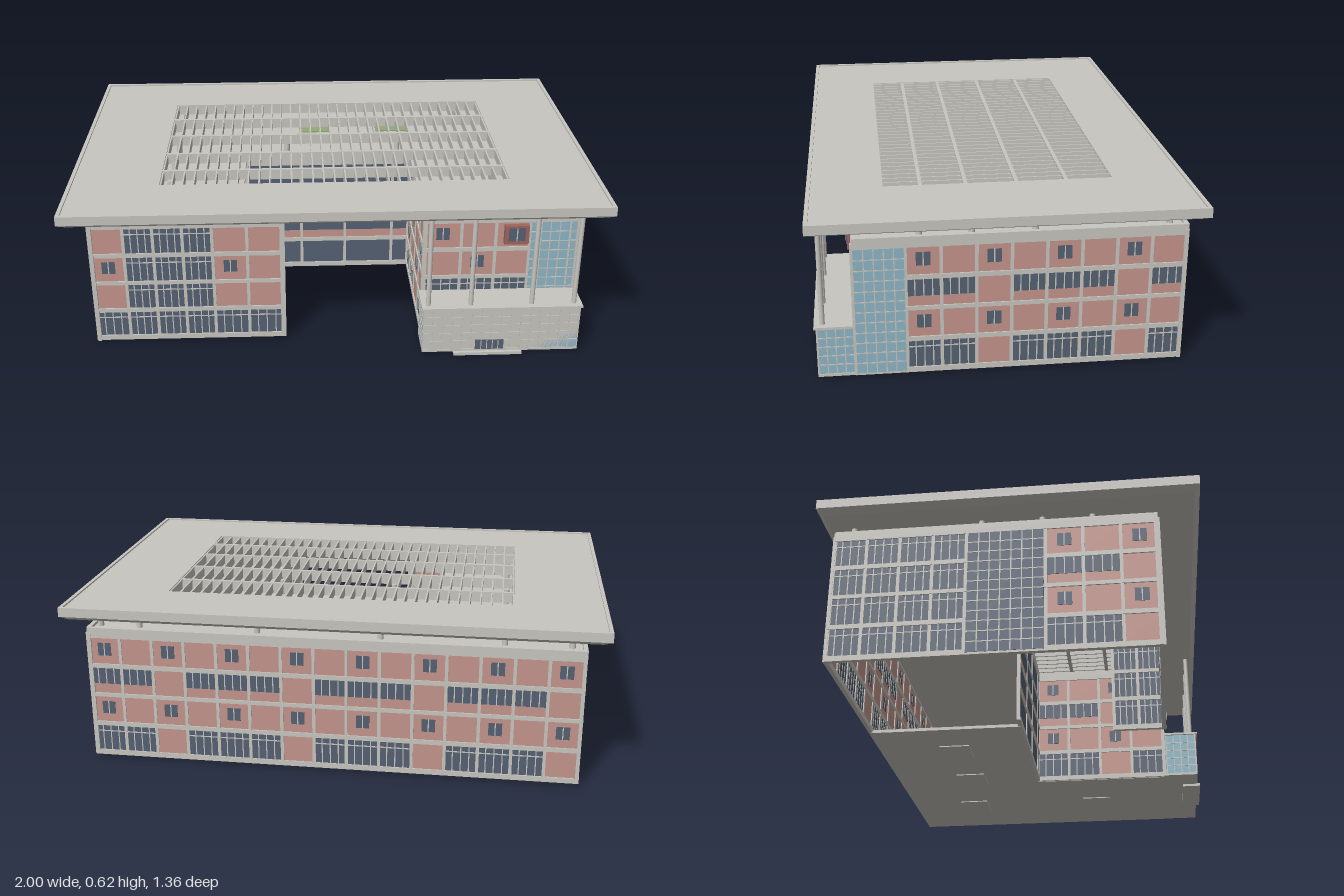
import * as THREE from 'three';
import { mergeGeometries } from 'three/addons/utils/BufferGeometryUtils.js';

const material = (name, color) => {
  const m = new THREE.MeshStandardMaterial({ color });
  m.name = name;
  return m;
};
const MATS = {
  stone: material('pale grey stone', 0xc8c6c0),
  panel: material('dusty pink panel', 0xc4958c),
  window: material('dark blue window', 0x566172),
  glass: material('light blue glass', 0x8fb6c6),
  green: material('green roof', 0x93aa78),
  red: material('brick red frame', 0xa0655c),
};

// Collects boxes by colour, then merges them into one mesh per colour.
class Boxes {
  constructor(name) { this.name = name; this.lists = {}; }
  // box given by its lower and upper corners
  add(mat, x0, x1, y0, y1, z0, z1) {
    const g = new THREE.BoxGeometry(x1 - x0, y1 - y0, z1 - z0);
    g.translate((x0 + x1) / 2, (y0 + y1) / 2, (z0 + z1) / 2);
    (this.lists[mat] ??= []).push(g);
  }
  // upright plate centred on the wall plane
  plate(mat, x0, x1, y0, y1, depth) { this.add(mat, x0, x1, y0, y1, -depth / 2, depth / 2); }
  build() {
    const group = new THREE.Group();
    group.name = this.name;
    for (const [mat, list] of Object.entries(this.lists)) {
      const mesh = new THREE.Mesh(mergeGeometries(list), MATS[mat]);
      mesh.name = `${this.name} ${mat}`;
      group.add(mesh);
    }
    return group;
  }
}

const FLOORS = [[0.03, 0.133], [0.15, 0.253], [0.268, 0.37], [0.387, 0.49]];
const BANDS = [[0.01, 0.03], [0.133, 0.15], [0.253, 0.268], [0.37, 0.387], [0.49, 0.53]];

// Glazing with a grid of slim bars.
function glazing(b, mat, x0, x1, y0, y1, cols, rows, depth, bar = 0.004) {
  b.plate(mat, x0, x1, y0, y1, depth);
  for (let i = 1; i < cols; i++) {
    const x = x0 + (x1 - x0) * i / cols;
    b.plate('stone', x - bar / 2, x + bar / 2, y0, y1, depth + 0.003);
  }
  for (let j = 1; j < rows; j++) {
    const y = y0 + (y1 - y0) * j / rows;
    b.plate('stone', x0, x1, y - bar / 2, y + bar / 2, depth + 0.003);
  }
}

// One bay of one storey: P plain, s small window, L long window over panel,
// W full window, B bare pane, C bare pane over panel.
function cell(b, code, x0, x1, [y0, y1]) {
  const mid = (x0 + x1) / 2;
  if (code === 'W') {
    glazing(b, 'window', x0, x1, y0, y1, 4, 1, 0.006);
    b.plate('stone', x0, x1, y1 - 0.026, y1 - 0.022, 0.009);
  } else if (code === 'B') {
    b.plate('window', x0, x1, y0, y1, 0.006);
  } else {
    b.plate('panel', x0, x1, y0, y1, 0.006);
    if (code === 's') glazing(b, 'window', mid - 0.025, mid + 0.025, y0 + 0.033, y0 + 0.083, 2, 1, 0.009);
    if (code === 'L') glazing(b, 'window', x0, x1, y0 + 0.038, y1, 4, 1, 0.009);
    if (code === 'C') b.plate('window', x0, x1, y0 + 0.035, y1, 0.009);
  }
}

// A wall starting at (x, z), running along its own x after turning by angle.
// Each bay is [width, storeys from the ground up]; G and K are full-height glazing.
function facade(name, x, z, angle, bays) {
  const b = new Boxes(name);
  const total = bays.reduce((s, [w]) => s + w, 0);
  for (const [y0, y1] of BANDS) b.plate('stone', 0, total, y0, y1, 0.016);
  const pier = (u) => b.plate('stone', u - 0.006, u + 0.006, 0.01, 0.51, 0.014);
  let u = 0;
  for (const [w, codes] of bays) {
    pier(u);
    if (codes === 'G') glazing(b, 'glass', u + 0.004, u + w - 0.004, 0.018, 0.49, Math.round(w / 0.037), 12, 0.018);
    else if (codes === 'K') glazing(b, 'window', u + 0.006, u + w - 0.006, 0.018, 0.49, Math.round(w / 0.04), 12, 0.018);
    else [...codes].forEach((c, f) => cell(b, c, u, u + w, FLOORS[f]));
    u += w;
  }
  pier(total);
  const group = b.build();
  group.position.set(x, 0, z);
  group.rotation.y = angle;
  return group;
}

// Repeating bay rhythm of the housing walls.
const RHYTHM = ['WsLs', 'WPLP', 'PsPs', 'WPLP'];
const rhythm = (count, width) => Array.from({ length: count }, (_, i) => [width / count, RHYTHM[i % 4]]);

// Flat rectangular ring lying between y0 and y1.
function frame(name, ox, oz, ix, iz, y0, y1) {
  const rect = (S, a, c) => new S([[-a, -c], [a, -c], [a, c], [-a, c]].map((p) => new THREE.Vector2(...p)));
  const shape = rect(THREE.Shape, ox, oz);
  shape.holes.push(rect(THREE.Path, ix, iz));
  const g = new THREE.ExtrudeGeometry(shape, { depth: y1 - y0, bevelEnabled: false });
  g.rotateX(-Math.PI / 2).translate(0, y0, 0);
  const mesh = new THREE.Mesh(g, MATS.stone);
  mesh.name = name;
  return mesh;
}

function canopy() {
  const group = new THREE.Group();
  group.name = 'canopy roof';
  group.add(frame('canopy deck', 1, 0.68, 0.66, 0.412, 0.585, 0.614));
  group.add(frame('canopy rim', 1, 0.68, 0.986, 0.666, 0.614, 0.62));
  group.add(frame('canopy soffit', 0.97, 0.6596, 0.66, 0.412, 0.57, 0.585));
  // sloping edge under the deck
  const r = Math.SQRT2;
  let g = new THREE.CylinderGeometry(r, r * 0.97, 0.015, 4, 1, true).rotateY(Math.PI / 4).scale(1, 1, 0.68);
  g = g.translate(0, 0.5775, 0).toNonIndexed();
  g.computeVertexNormals();
  const edge = new THREE.Mesh(g, MATS.stone);
  edge.name = 'canopy sloping edge';
  group.add(edge);
  // louvres and the beams that carry them
  const b = new Boxes('louvres');
  for (let i = 0; i <= 32; i++) {
    const x = -0.656 + i * 0.041;
    b.add('stone', x - 0.003, x + 0.003, 0.575, 0.611, -0.412, 0.412);
  }
  for (const z of [-0.245, -0.065, 0.118, 0.28]) b.add('stone', -0.66, 0.66, 0.572, 0.613, z - 0.007, z + 0.007);
  group.add(b.build());
  return group;
}

function columns() {
  const group = new THREE.Group();
  group.name = 'columns';
  const post = (x, z, y0, radius) => {
    const m = new THREE.Mesh(new THREE.CylinderGeometry(radius, radius, 0.58 - y0, 16), MATS.stone);
    m.name = 'column';
    m.position.set(x, (y0 + 0.58) / 2, z);
    group.add(m);
  };
  for (const x of [0.34, 0.5, 0.73, 0.89]) post(x, 0.64, 0.2, 0.009);
  for (const x of [-0.87, -0.63, -0.18, 0.28, 0.73, 0.88]) for (const z of [-0.57, -0.1]) post(x, z, 0.51, 0.011);
  for (const x of [-0.87, -0.63, 0.73, 0.88]) for (const z of [0.12, 0.3]) post(x, z, 0.51, 0.011);
  return group;
}

export function createModel() {
  const model = new THREE.Group();
  model.name = 'courtyard building';
  const H = Math.PI / 2;

  // outer walls
  model.add(facade('left side wall', 0.91, 0.53, H, [[0.18, 'G'], ...rhythm(8, 0.975)]));
  model.add(facade('back wall', 0.915, -0.622, Math.PI, rhythm(15, 1.83)));
  model.add(facade('right side wall', -0.915, -0.625, -H,
    [...Array(4).fill([0.12, 'WWWW']), [0.28, 'K'], ...rhythm(3, 0.395)]));
  model.add(facade('right wing front', -0.92, 0.522, 0,
    [[0.125, 'WPsP'], ...Array(3).fill([0.11, 'WWWW']), [0.13, 'WPsP'], [0.135, 'WPPP']]));
  model.add(facade('right wing return', -0.206, 0.525, H, Array(2).fill([0.097, 'WWWW'])));
  model.add(facade('left wing front', 0.33, 0.522, 0,
    [[0.14, 'WWPs'], [0.13, 'WWsP'], [0.13, 'WWPs'], [0.15, 'G'], [0.03, 'G']]));

  // courtyard walls
  model.add(facade('courtyard back wall', -0.35, -0.03, 0,
    [[0.225, 'BCCB'], [0.185, 'BCCB'], [0.2, 'BCCB'], [0.07, 'BCCB']]));
  model.add(facade('courtyard side wall', 0.335, -0.03, -H, rhythm(4, 0.55)));

  // floors, flat roofs and rooftop boxes
  const s = new Boxes('slabs');
  s.add('stone', -0.29, 0.91, 0.008, 0.02, -0.62, -0.03);
  s.add('stone', 0.335, 0.91, 0.008, 0.02, -0.03, 0.52);
  s.add('stone', -0.915, 0.91, 0.5, 0.52, -0.62, -0.03);
  s.add('stone', -0.915, -0.35, 0.5, 0.52, -0.03, 0.52);
  s.add('stone', 0.335, 0.91, 0.5, 0.52, -0.03, 0.52);
  for (const [x, z] of [[0.62, -0.35], [0.63, 0.21], [0.27, -0.31], [-0.06, -0.32]])
    s.add('stone', x - 0.065, x + 0.065, 0.004, 0.01, z - 0.06, z + 0.06);
  model.add(s.build());

  const r = new Boxes('rooftop boxes');
  r.add('stone', 0.57, 0.81, 0.51, 0.565, -0.5, -0.37);
  r.add('stone', 0.62, 0.8, 0.51, 0.565, 0.19, 0.35);
  r.add('stone', -0.82, -0.635, 0.51, 0.555, -0.5, -0.33);
  for (const x of [-0.06, 0.27]) {
    r.add('stone', x - 0.075, x + 0.075, 0.51, 0.54, -0.38, -0.25);
    r.add('green', x - 0.067, x + 0.067, 0.54, 0.545, -0.362, -0.258);
  }
  model.add(r.build());

  // framed bay window on the left wing front
  const f = new Boxes('framed bay window');
  f.add('red', 0.63, 0.722, 0.405, 0.482, 0.525, 0.545);
  f.add('window', 0.645, 0.707, 0.42, 0.475, 0.545, 0.548);
  f.add('stone', 0.674, 0.678, 0.42, 0.475, 0.548, 0.55);
  model.add(f.build());

  // glazed entrance hall
  const e = new Boxes('entrance hall');
  e.add('stone', 0.315, 0.92, 0.196, 0.205, 0.53, 0.67);
  e.add('stone', 0.32, 0.915, 0.01, 0.02, 0.53, 0.662);
  e.add('stone', 0.44, 0.7, 0, 0.012, 0.6, 0.675);
  e.add('glass', 0.322, 0.912, 0.02, 0.196, 0.53, 0.66);
  for (let i = 0; i <= 16; i++) {
    const x = 0.322 + i * 0.59 / 16;
    e.add('stone', x - 0.002, x + 0.002, 0.02, 0.196, 0.66, 0.663);
  }
  for (let j = 1; j < 5; j++) {
    const y = 0.02 + j * 0.035;
    e.add('stone', 0.32, 0.914, y - 0.002, y + 0.002, 0.532, 0.662);
  }
  for (let k = 0; k <= 4; k++) {
    const z = 0.534 + k * 0.031;
    e.add('stone', 0.32, 0.914, 0.02, 0.196, z - 0.002, z + 0.002);
  }
  e.add('window', 0.522, 0.63, 0.02, 0.06, 0.661, 0.665);
  for (let i = 1; i < 5; i++) e.add('stone', 0.521 + i * 0.0216, 0.524 + i * 0.0216, 0.02, 0.06, 0.665, 0.667);
  model.add(e.build());

  model.add(columns(), canopy());
  return model;
}
